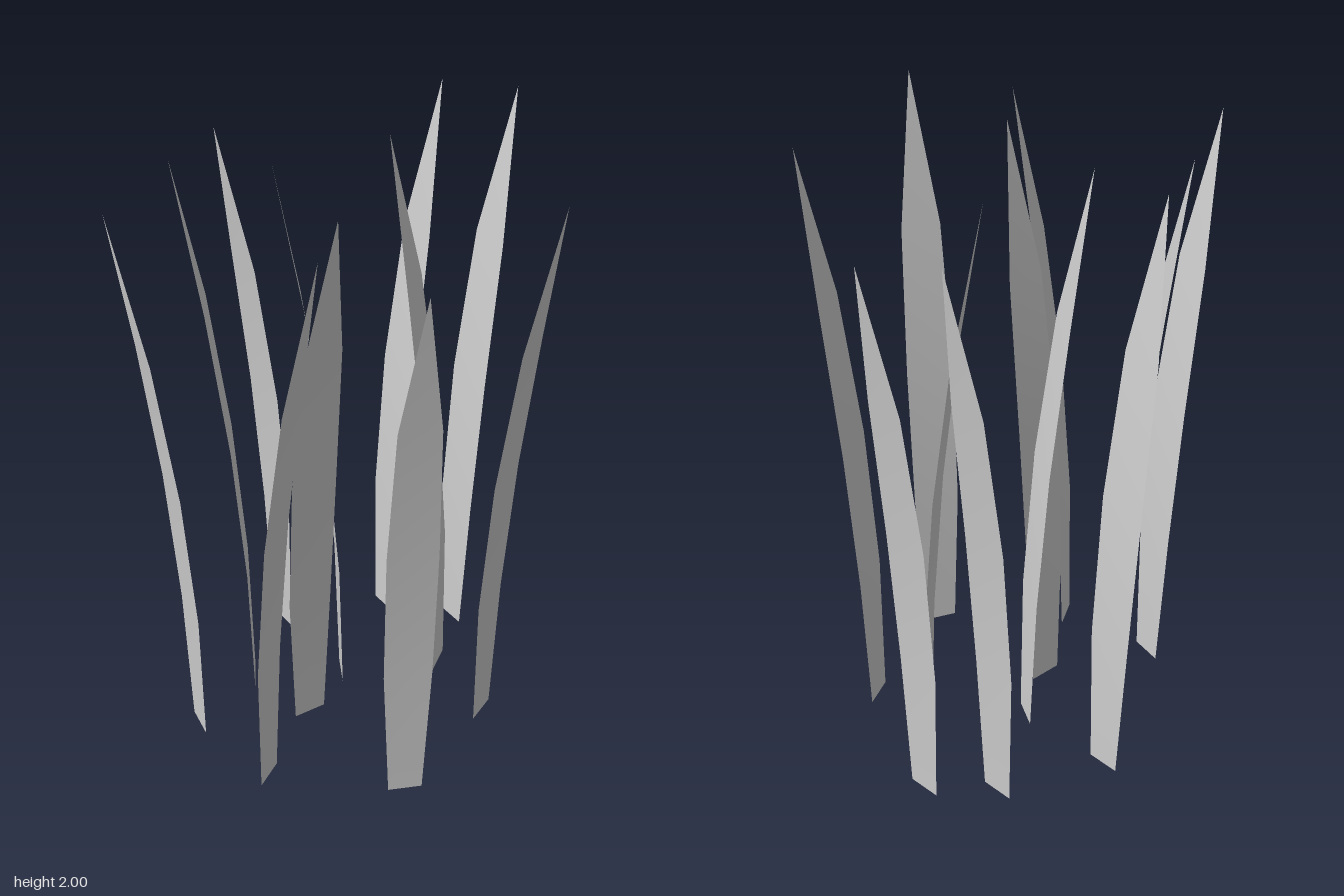
import * as THREE from 'three';

const LEAN = 0.195;
const HEIGHT = 2;
const WIDTHS = [0.109, 0.151, 0.157, 0.128]; // from root upwards, the tip is a point

// Blade tip position (x, z) and the direction it bends towards (dx, dz)
const BLADES = [
  [0.157, -0.597, 40, -43],
  [0.387, -0.592, 39, -43],
  [-0.447, -0.177, -40, 42],
  [0.063, -0.236, -59, -9],
  [-0.243, -0.03, -56, 18],
  [-0.527, 0.033, -57, 13],
  [0.62, 0.067, 54, 19],
  [0.013, 0.263, 40, 43],
  [-0.623, 0.358, -47, 33],
  [0.003, 0.48, 57, 14],
  [0.323, 0.588, 21, 54],
];

// One tapering ribbon, rooted at the origin and bending towards +z
function bladeGeometry() {
  const points = [];
  const faces = [];
  const n = WIDTHS.length;
  WIDTHS.forEach((w, i) => {
    const t = i / n;
    const z = LEAN * t * t;
    points.push(-w / 2, t * HEIGHT, z, w / 2, t * HEIGHT, z);
    const a = i * 2;
    if (i < n - 1) faces.push(a, a + 1, a + 3, a, a + 3, a + 2);
    else faces.push(a, a + 1, a + 2);
  });
  points.push(0, HEIGHT, LEAN);
  const geometry = new THREE.BufferGeometry();
  geometry.setAttribute('position', new THREE.Float32BufferAttribute(points, 3));
  geometry.setIndex(faces);
  geometry.computeVertexNormals();
  return geometry;
}

export function createModel() {
  const group = new THREE.Group();
  group.name = 'grassTuft';
  const geometry = bladeGeometry();
  const material = new THREE.MeshStandardMaterial({ color: 0xcccccc, side: THREE.DoubleSide });

  // Scattered blades, each turned to its own bending direction
  BLADES.forEach(([x, z, dx, dz], i) => {
    const angle = Math.atan2(dx, dz);
    const blade = new THREE.Mesh(geometry, material);
    blade.name = `grassBlade${i + 1}`;
    blade.position.set(x - LEAN * Math.sin(angle), 0, z - LEAN * Math.cos(angle));
    blade.rotation.y = angle;
    group.add(blade);
  });
  return group;
}
